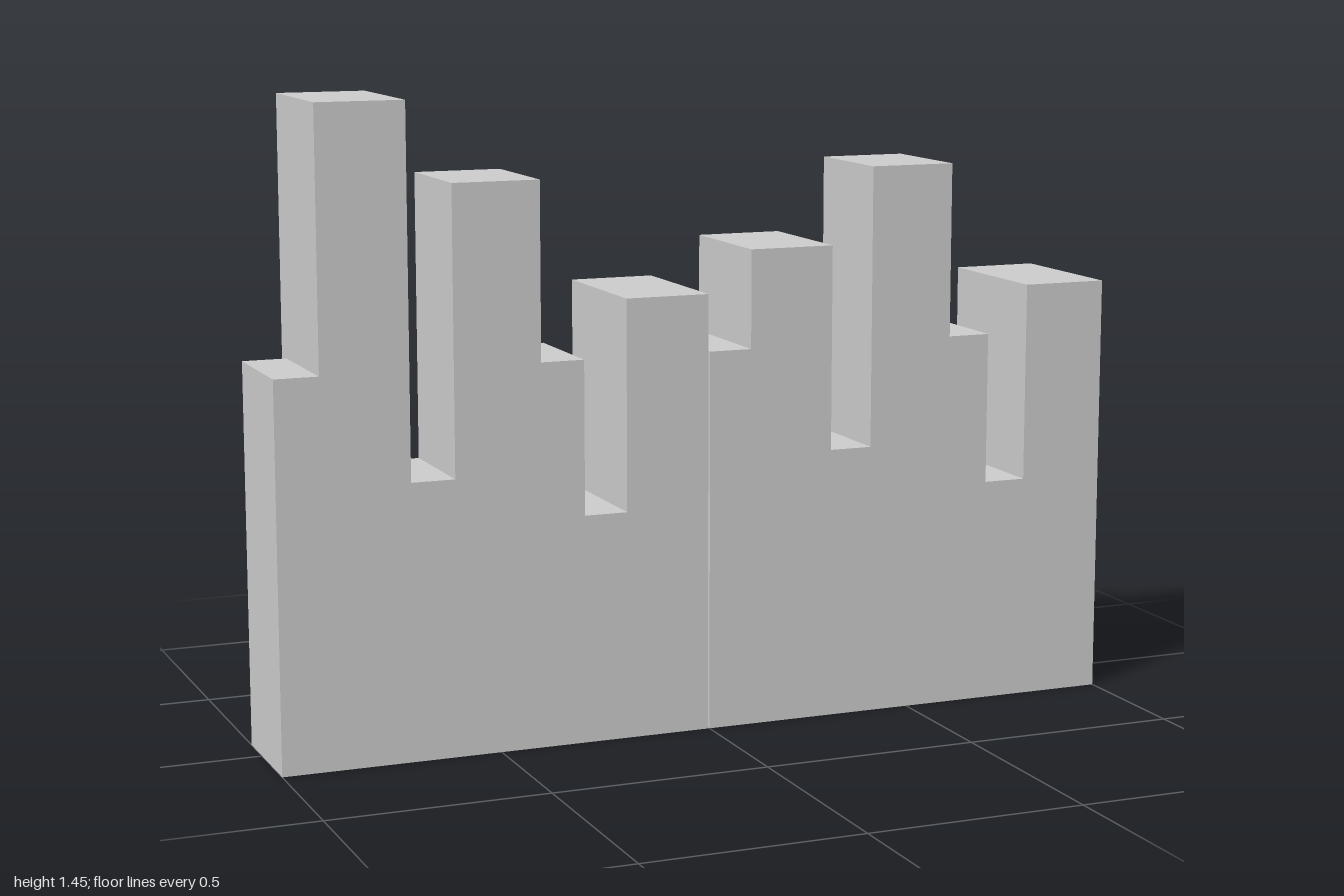
import * as THREE from 'three';

const FRONT = 0.173, BACK = -0.092;

// Columns as [left x, right x, height, back z]
const leftHand = [
  [-1, -0.9, 0.87, BACK],
  [-0.9, -0.7, 1.45, -0.13],
  [-0.7, -0.6, 0.625, BACK],
  [-0.6, -0.4, 1.27, BACK],
  [-0.4, -0.3, 0.87, BACK],
  [-0.3, -0.2, 0.52, BACK],
  [-0.2, -0.004, 1.0, -0.173],
];
const rightHand = [
  [0, 0.1, 0.87, BACK],
  [0.1, 0.3, 1.095, -0.13],
  [0.3, 0.4, 0.625, BACK],
  [0.4, 0.6, 1.27, BACK],
  [0.6, 0.7, 0.87, BACK],
  [0.7, 0.8, 0.52, BACK],
  [0.8, 1, 0.98, -0.173],
];

function createSection(name, columns) {
  const section = new THREE.Group();
  section.name = name;
  const material = new THREE.MeshStandardMaterial({ color: 0xcccccc, flatShading: true });

  // Stepped wall, one outline extruded from back to front
  const outline = new THREE.Shape();
  outline.moveTo(columns[0][0], 0);
  for (const [x0, x1, h] of columns) {
    outline.lineTo(x0, h);
    outline.lineTo(x1, h);
  }
  outline.lineTo(columns[columns.length - 1][1], 0);
  const wallGeometry = new THREE.ExtrudeGeometry(outline, { depth: FRONT - BACK, bevelEnabled: false });
  wallGeometry.translate(0, 0, BACK);
  const wall = new THREE.Mesh(wallGeometry, material);
  wall.name = 'steppedWall';
  section.add(wall);

  // Deeper towers continue behind the wall
  for (const [x0, x1, h, back] of columns) {
    if (back >= BACK) continue;
    const rear = new THREE.Mesh(new THREE.BoxGeometry(x1 - x0, h, BACK - back), material);
    rear.position.set((x0 + x1) / 2, h / 2, (BACK + back) / 2);
    rear.name = 'towerRear';
    section.add(rear);
  }
  return section;
}

export function createModel() {
  const model = new THREE.Group();
  model.name = 'steppedTowers';
  model.add(createSection('rightSection', leftHand), createSection('leftSection', rightHand));
  return model;
}
